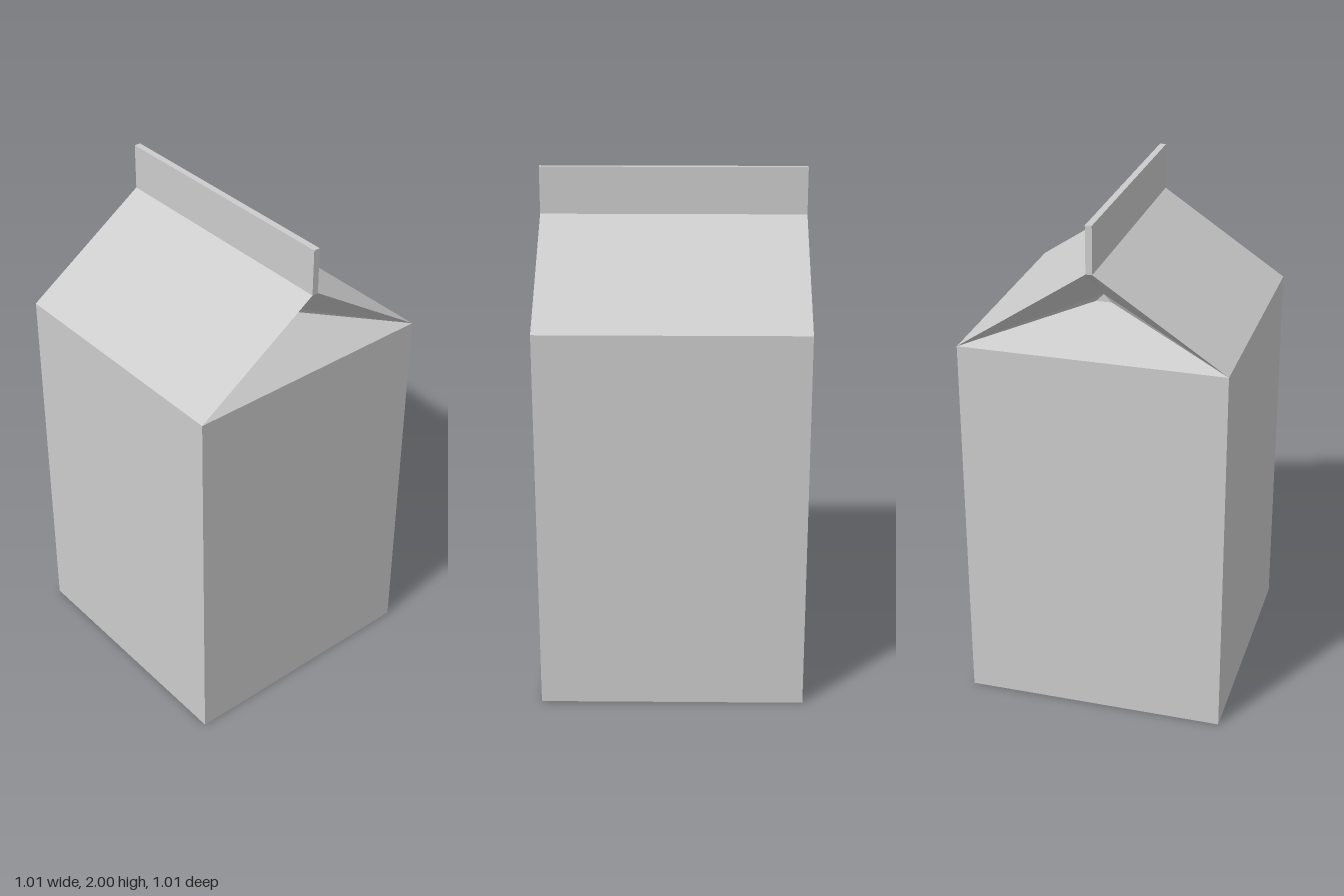
import * as THREE from 'three';

const W = 0.507;      // half width of the carton
const EAVE = 1.49;    // top of the walls
const RIDGE = 1.82;   // where the roof meets the sealed fin
const TOP = 2;
const FIN = 0.0125;   // half thickness of the fin
const INNER = W - 0.18; // depth of the tucked gable

// Flat polygons, each listed counter-clockwise and split into a fan
function polygons(faces) {
  const points = [];
  for (const f of faces)
    for (let i = 1; i < f.length - 1; i++) points.push(...f[0], ...f[i], ...f[i + 1]);
  const geometry = new THREE.BufferGeometry();
  geometry.setAttribute('position', new THREE.Float32BufferAttribute(points, 3));
  geometry.computeVertexNormals();
  return geometry;
}

export function createModel() {
  const model = new THREE.Group();
  model.name = 'carton';

  const card = new THREE.MeshStandardMaterial({ color: 0xcccccc });
  card.name = 'light grey card';

  const add = (parent, name, geometry, y = 0) => {
    const mesh = new THREE.Mesh(geometry, card);
    mesh.name = name;
    mesh.position.y = y;
    parent.add(mesh);
  };

  // Square body and sealed top fin
  add(model, 'body', new THREE.BoxGeometry(2 * W, EAVE, 2 * W), EAVE / 2);
  add(model, 'topFin', new THREE.BoxGeometry(2 * W, TOP - RIDGE, 2 * FIN), (TOP + RIDGE) / 2);

  // Corners of one gable end
  const eaveFront = [W, EAVE, W], eaveBack = [W, EAVE, -W];
  const ridgeFront = [W, RIDGE, FIN], ridgeBack = [W, RIDGE, -FIN];
  const tuckFront = [INNER, 1.65, 0.03], tuckBack = [INNER, 1.65, -0.03];
  const tuckTop = [INNER, 1.68, 0];

  // One roof slope and one gable per half; the second half is turned round
  for (const [side, turn] of [['A', 0], ['B', Math.PI]]) {
    const half = new THREE.Group();
    half.name = 'roofHalf' + side;
    half.rotation.y = turn;

    add(half, 'roofSlope', polygons([
      [[-W, EAVE, W], eaveFront, ridgeFront, [-W, RIDGE, FIN]],
    ]));
    // Triangular panel pushed in below the ridge
    add(half, 'gablePanel', polygons([
      [eaveFront, eaveBack, tuckBack, tuckFront],
      [tuckFront, tuckBack, tuckTop],
    ]));
    // Folded flaps under the roof edges
    add(half, 'gableFolds', polygons([
      [eaveFront, tuckFront, tuckTop, ridgeFront],
      [eaveBack, ridgeBack, tuckTop, tuckBack],
      [tuckTop, ridgeBack, ridgeFront],
    ]));
    model.add(half);
  }
  return model;
}
